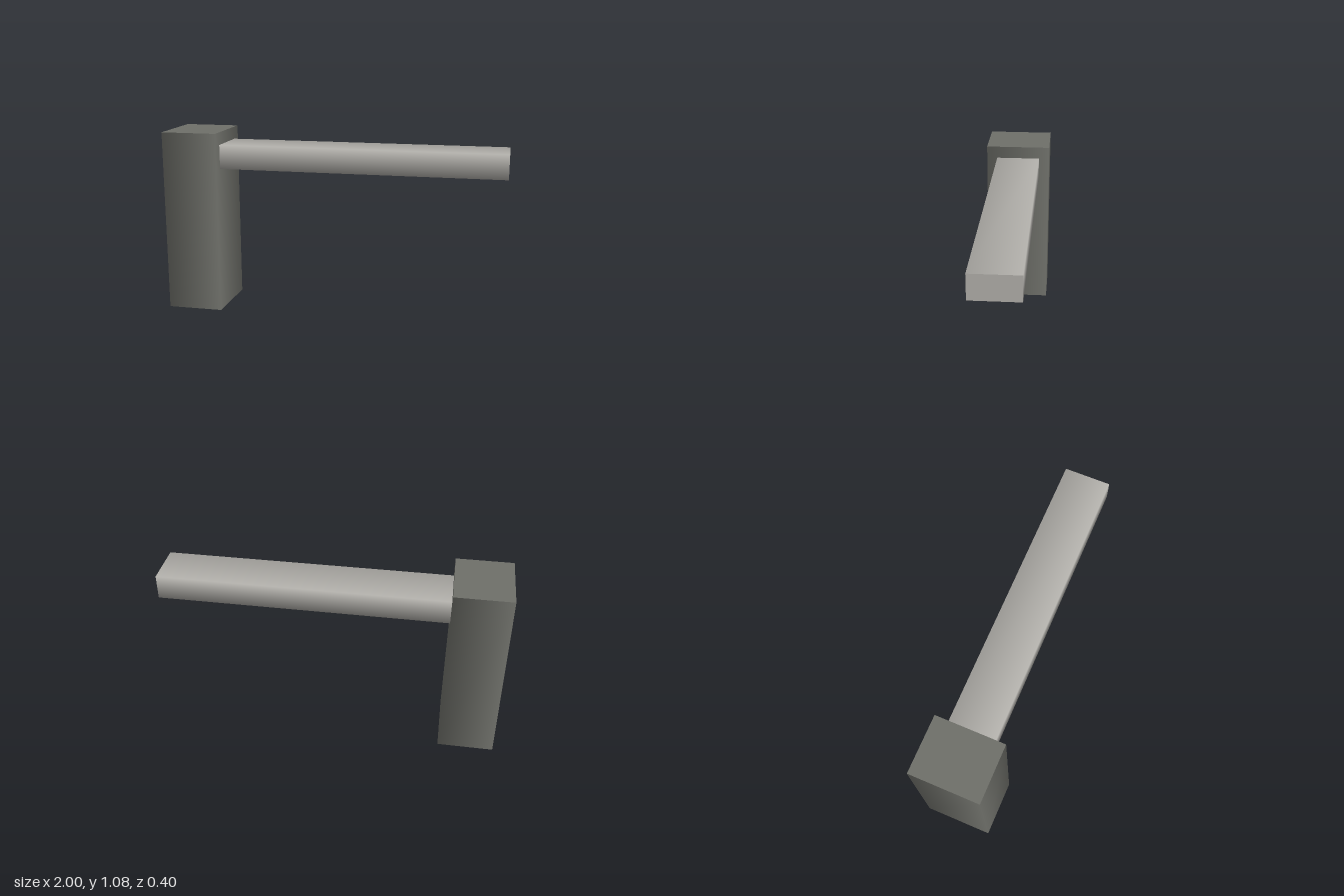
import * as THREE from 'three';

// Four-sided prism along y with softly shaded sides and flat caps
function softPrism(width, height, depth) {
  const geometry = new THREE.CylinderGeometry(Math.SQRT1_2, Math.SQRT1_2, height, 4, 1, false, Math.PI / 4);
  geometry.scale(width, 1, depth);
  return geometry;
}

export function createModel() {
  const group = new THREE.Group();
  group.name = 'hammer';

  const darkGrey = new THREE.MeshStandardMaterial({ color: 0x6e6f69 });
  darkGrey.name = 'darkGrey';
  const lightGrey = new THREE.MeshStandardMaterial({ color: 0xb0aea9 });
  lightGrey.name = 'lightGrey';

  // Upright block
  const head = new THREE.Mesh(softPrism(0.33, 1.075, 0.4), darkGrey);
  head.name = 'head';
  head.position.set(-0.835, 0.5375, 0);

  // Horizontal bar, laid along x
  const bar = softPrism(0.142, 1.67, 0.27);
  bar.rotateZ(-Math.PI / 2);
  const handle = new THREE.Mesh(bar, lightGrey);
  handle.name = 'handle';
  handle.position.set(0.165, 0.93, 0);

  group.add(head, handle);
  return group;
}
